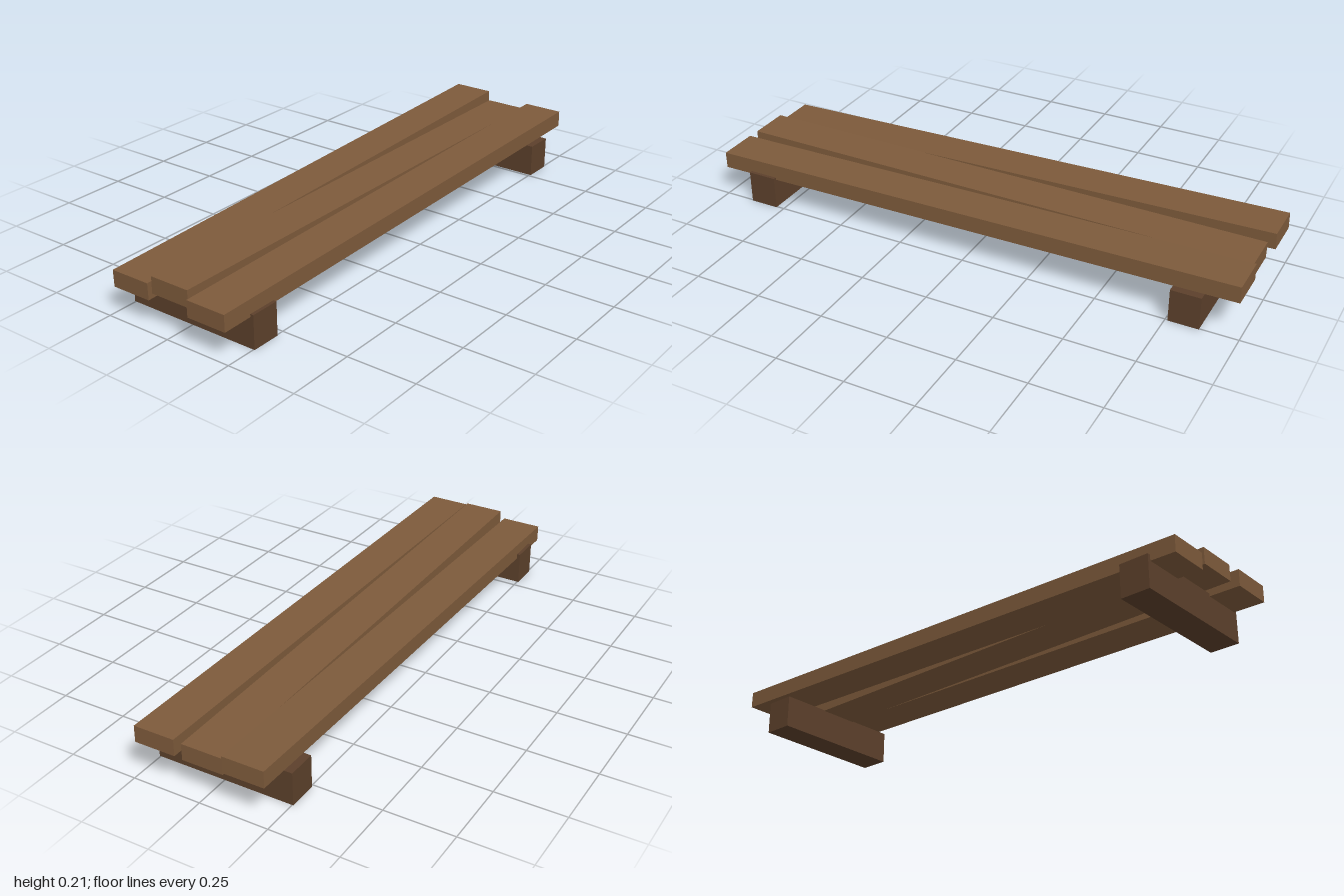
import * as THREE from 'three';

export function createModel() {
  const model = new THREE.Group();
  model.name = 'plankPlatform';

  const plankWood = new THREE.MeshStandardMaterial({ color: 0x7d5a3b });
  plankWood.name = 'plankWood';
  const beamWood = new THREE.MeshStandardMaterial({ color: 0x5c402b });
  beamWood.name = 'beamWood';

  function addBox(name, size, position, material, tilt = 0) {
    const mesh = new THREE.Mesh(new THREE.BoxGeometry(...size), material);
    mesh.name = name;
    mesh.position.set(...position);
    mesh.rotation.z = tilt;
    model.add(mesh);
  }

  // Two cross beams resting on the ground
  const beamHeight = 0.12;
  addBox('rightBeam', [0.107, beamHeight, 0.508], [-0.833, beamHeight / 2, 0], beamWood);
  addBox('leftBeam', [0.107, beamHeight, 0.508], [0.813, beamHeight / 2, 0], beamWood);

  // Three loose planks, each with its own slight tilt and offset
  const planks = [
    { name: 'frontPlank', x: -0.006, z: 0.167, length: 1.987, tilt: 0.0128 },
    { name: 'middlePlank', x: -0.002, z: 0, length: 1.95, tilt: -0.0046 },
    { name: 'backPlank', x: 0.009, z: -0.167, length: 1.976, tilt: 0.025 },
  ];
  for (const { name, x, z, length, tilt } of planks) {
    addBox(name, [length, 0.06, 0.15], [x, 0.151, z], plankWood, tilt);
  }

  return model;
}
